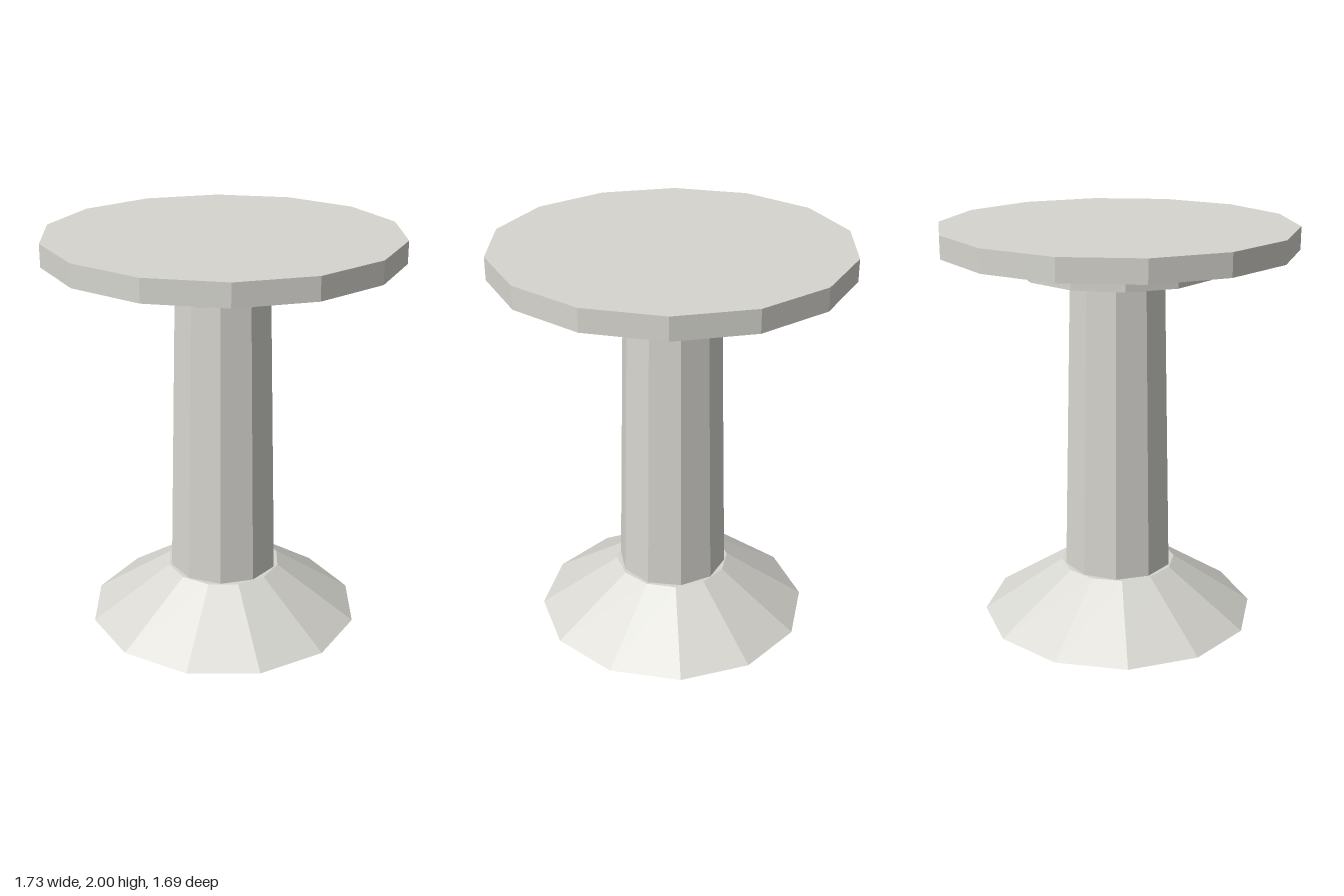
import * as THREE from 'three';

export function createModel() {
  const model = new THREE.Group();
  model.name = 'pedestalTable';

  const stone = new THREE.MeshStandardMaterial({ color: 0xd6d5cf });
  stone.name = 'paleStone';
  stone.flatShading = true;

  // Faceted drum between two heights, with a corner on the +x axis
  function addDrum(name, bottomRadius, topRadius, y0, y1, sides) {
    const geometry = new THREE.CylinderGeometry(topRadius, bottomRadius, y1 - y0, sides);
    geometry.rotateY(Math.PI / 2);
    geometry.translate(0, (y0 + y1) / 2, 0);
    const mesh = new THREE.Mesh(geometry, stone);
    mesh.name = name;
    model.add(mesh);
  }

  addDrum('flaredBase', 0.69, 0.29, 0, 0.27, 12);
  addDrum('column', 0.276, 0.238, 0.27, 1.775, 10);
  addDrum('collar', 0.485, 0.485, 1.775, 1.89, 12);
  addDrum('tableTop', 0.865, 0.865, 1.89, 2, 14);

  return model;
}
